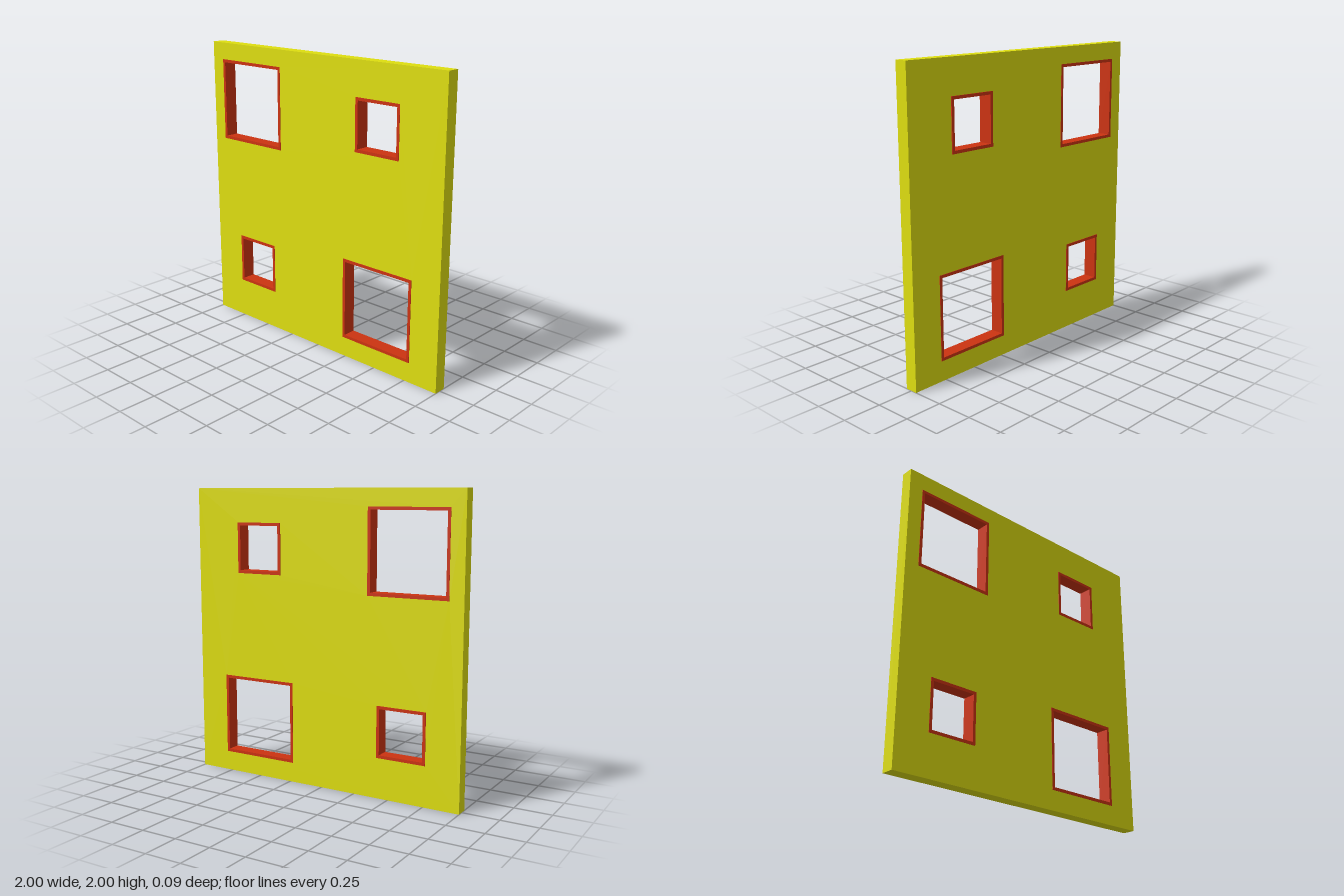
import * as THREE from 'three';

// Closed square path of side s around (x, y)
function square(path, x, y, s) {
  const h = s / 2;
  path.moveTo(x - h, y - h);
  path.lineTo(x + h, y - h);
  path.lineTo(x + h, y + h);
  path.lineTo(x - h, y + h);
  path.closePath();
  return path;
}

// Extrude a shape between two z positions
function slab(name, shape, back, front, material) {
  const geometry = new THREE.ExtrudeGeometry(shape, { depth: front - back, bevelEnabled: false });
  geometry.translate(0, 0, back);
  const mesh = new THREE.Mesh(geometry, material);
  mesh.name = name;
  return mesh;
}

export function createModel() {
  const group = new THREE.Group();
  group.name = 'windowWall';
  const yellow = new THREE.MeshStandardMaterial({ color: 0xdede10 });
  const red = new THREE.MeshStandardMaterial({ color: 0xcc3311 });
  const rim = 0.02;

  // Openings: outer size of the lining, centre, and its back and front faces
  const openings = [
    { name: 'upperRightFrame', x: -0.622, y: 1.605, size: 0.56, back: -0.045, front: 0.046 },
    { name: 'upperLeftFrame', x: 0.491, y: 1.597, size: 0.346, back: -0.049, front: 0.045 },
    { name: 'lowerRightFrame', x: -0.591, y: 0.447, size: 0.346, back: -0.047, front: 0.045 },
    { name: 'lowerLeftFrame', x: 0.507, y: 0.415, size: 0.56, back: -0.045, front: 0.046 },
  ];

  // Wall panel with four square holes
  const wall = square(new THREE.Shape(), 0, 1, 2);
  for (const o of openings) wall.holes.push(square(new THREE.Path(), o.x, o.y, o.size));
  group.add(slab('wallPanel', wall, -0.043, 0.043, yellow));

  // Linings standing slightly proud of the wall
  for (const o of openings) {
    const frame = square(new THREE.Shape(), o.x, o.y, o.size);
    frame.holes.push(square(new THREE.Path(), o.x, o.y, o.size - 2 * rim));
    group.add(slab(o.name, frame, o.back, o.front, red));
  }
  return group;
}
